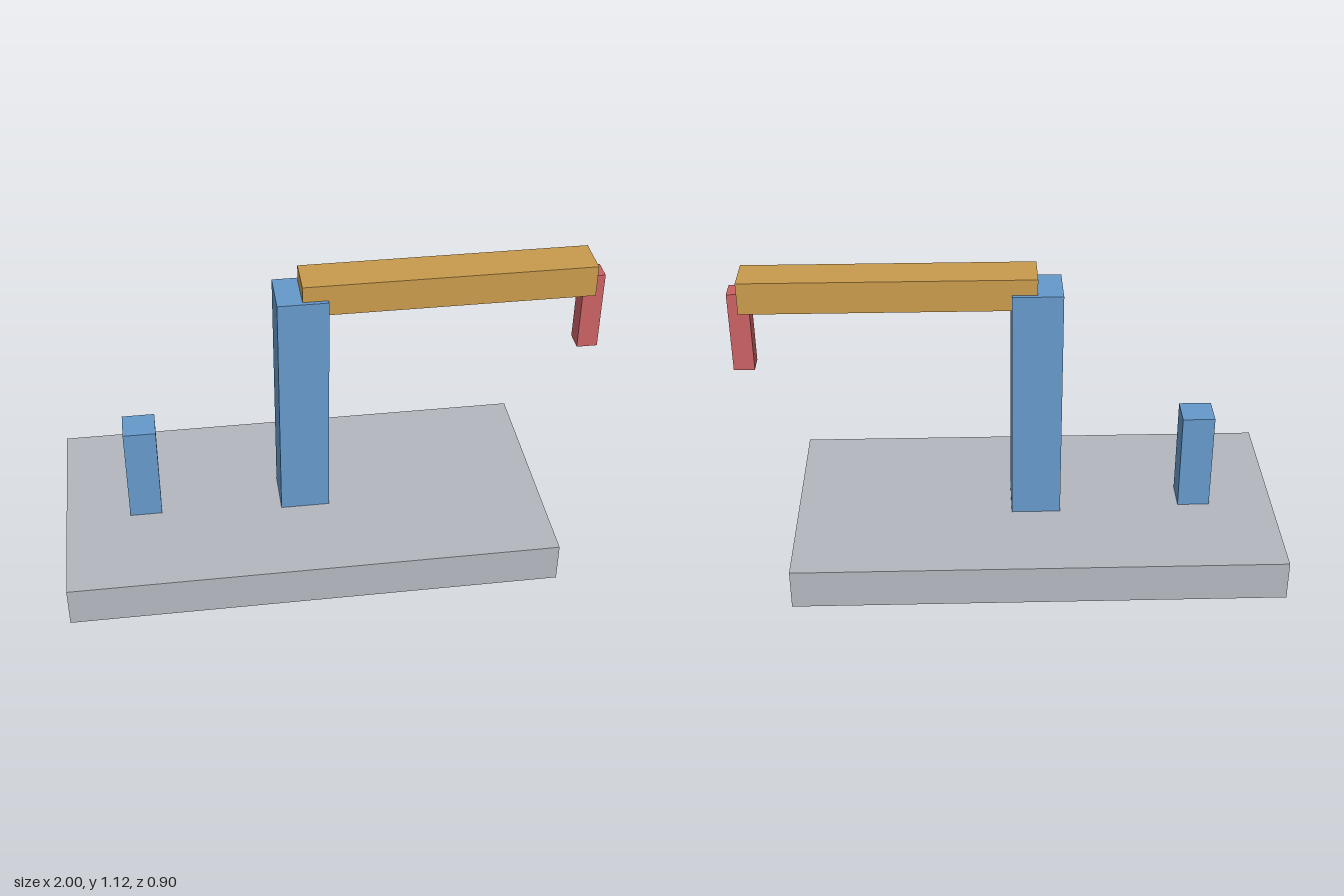
import * as THREE from 'three';

const paint = (name, color) => {
  const material = new THREE.MeshStandardMaterial({ color });
  material.name = name;
  return material;
};

export function createModel() {
  const model = new THREE.Group();
  model.name = 'pillarCrane';

  const grey = paint('grey', 0xb4b7bf);
  const blue = paint('blue', 0x6498ca);
  const ochre = paint('ochre', 0xc89a4c);
  const red = paint('red', 0xc96163);

  // Box between x and y limits, centred on z = 0
  const addBox = (name, material, [x0, x1], [y0, y1], depth) => {
    const mesh = new THREE.Mesh(new THREE.BoxGeometry(x1 - x0, y1 - y0, depth), material);
    mesh.name = name;
    mesh.position.set((x0 + x1) / 2, (y0 + y1) / 2, 0);
    model.add(mesh);
  };

  // Ground slab
  addBox('base', grey, [-1, 0.807], [0, 0.151], 0.905);

  // Upright posts
  addBox('mainColumn', blue, [-0.187, -0.004], [0.151, 1.06], 0.181);
  addBox('shortPost', blue, [-0.76, -0.64], [0.151, 0.53], 0.121);

  // Horizontal arm notched over the column, with the hanging tool at its tip
  addBox('arm', ochre, [-0.096, 0.959], [1.0, 1.12], 0.151);
  addBox('hangingTool', red, [0.924, 1], [0.757, 1.06], 0.076);

  return model;
}
